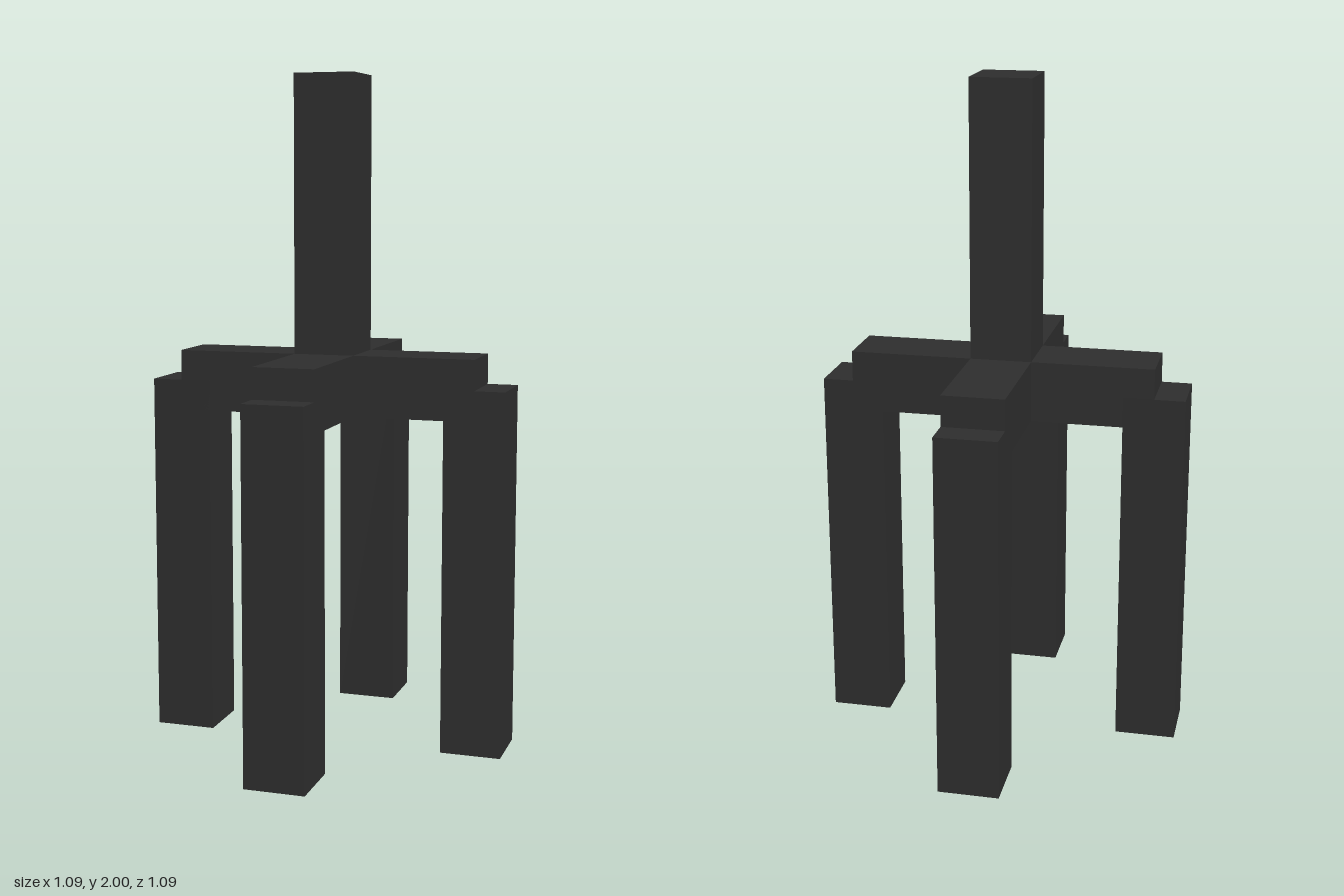
import * as THREE from 'three';

const U = 1 / 11; // half the beam thickness
const T = 2 * U;

export function createModel() {
  const model = new THREE.Group();
  model.name = 'fourLeggedStand';
  const charcoal = new THREE.MeshStandardMaterial({ color: 0x2e2e2e });
  charcoal.name = 'charcoal';

  // Box standing on height y0
  const beam = (name, parent, w, h, d, x, y0, z) => {
    const mesh = new THREE.Mesh(new THREE.BoxGeometry(w, h, d), charcoal);
    mesh.name = name;
    mesh.position.set(x, y0 + h / 2, z);
    parent.add(mesh);
  };

  // Upright post and the hub where the arms cross
  beam('post', model, T, 9 * U, T, 0, 13 * U, 0);
  beam('hub', model, T, T, T, 0, 11 * U, 0);

  // Four arms, each ending in the middle of a leg that stops below the arm's top
  ['left', 'back', 'right', 'front'].forEach((side, i) => {
    const limb = new THREE.Group();
    limb.name = side + 'Limb';
    limb.rotation.y = (i * Math.PI) / 2;
    beam(side + 'Arm', limb, 4 * U, T, T, 3 * U, 11 * U, 0);
    beam(side + 'Leg', limb, T, 12 * U, T, 5 * U, 0, 0);
    model.add(limb);
  });

  return model;
}
